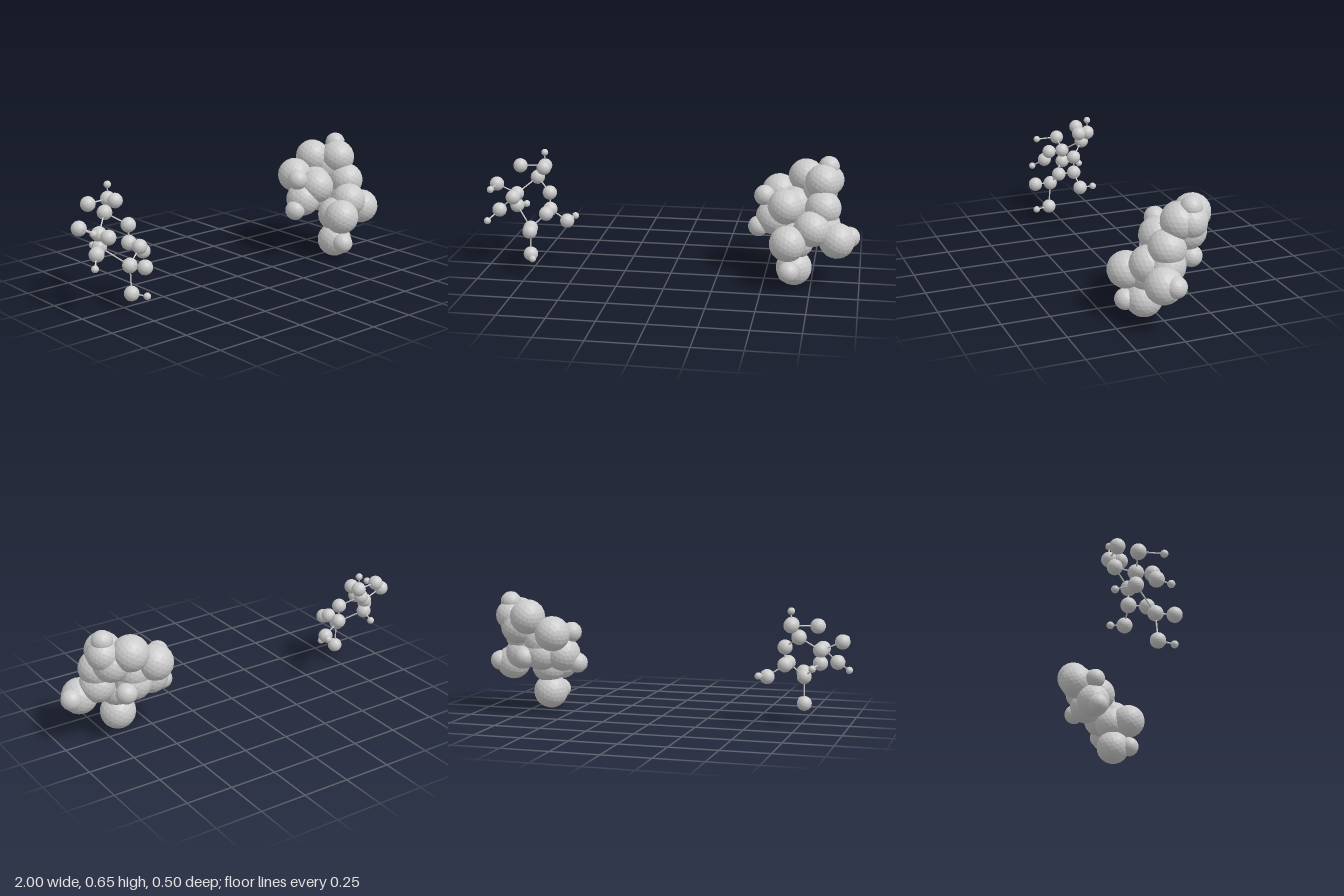
import * as THREE from 'three';

// Atom centres, shared by both renderings of the molecule: [x, y, z]
const HEAVY = {
  top: [0.03, 0.53, -0.158],
  topFront: [0.036, 0.53, -0.104],
  topSide: [-0.103, 0.53, -0.138],
  ringTop: [-0.007, 0.47, -0.136],
  ringLeft: [-0.103, 0.396, -0.05],
  ringLeftLow: [-0.103, 0.33, -0.05],
  leftFront: [-0.103, 0.396, 0.03],
  leftUpper: [-0.215, 0.444, -0.056],
  leftLower: [-0.178, 0.326, 0.035],
  ringRightHigh: [0.079, 0.407, -0.056],
  ringRightLow: [0.079, 0.315, -0.056],
  ringFront: [0.079, 0.315, 0.035],
  rightEnd: [0.17, 0.251, -0.061],
  ringBase: [-0.001, 0.24, 0.061],
  frontEnd: [0.02, 0.25, 0.158],
  bottom: [-0.002, 0.097, 0.071],
};
const HYDROGEN = {
  topHydrogen: [0.03, 0.603, -0.158],
  leftUpperHydrogen: [-0.215, 0.444, 0.067],
  leftLowerHydrogen: [-0.23, 0.278, 0.094],
  backHydrogen: [-0.077, 0.312, -0.145],
  rightHydrogen: [0.202, 0.262, -0.126],
  bottomHydrogen: [0.03, 0.098, 0.157],
};
const BONDS = [
  'top topHydrogen', 'top topSide', 'top topFront', 'top ringTop',
  'ringTop ringLeft', 'ringTop ringRightHigh', 'ringLeft leftUpper',
  'ringLeft ringLeftLow', 'ringLeft leftFront', 'leftFront leftLower',
  'leftUpper leftUpperHydrogen', 'leftLower leftLowerHydrogen',
  'ringLeftLow backHydrogen', 'ringLeftLow ringBase',
  'ringRightHigh ringRightLow', 'ringRightLow ringFront',
  'ringRightLow rightEnd', 'rightEnd rightHydrogen',
  'ringFront ringBase', 'ringBase frontEnd', 'ringBase bottom',
  'bottom bottomHydrogen',
];

const material = new THREE.MeshStandardMaterial({ color: 0xcccccc, flatShading: true });

// One faceted ball per atom
function addAtoms(group, atoms, radiusOf) {
  for (const [name, p] of Object.entries(atoms)) {
    const ball = new THREE.Mesh(new THREE.IcosahedronGeometry(radiusOf(name), 3), material);
    ball.position.set(...p);
    ball.name = name + 'Atom';
    group.add(ball);
  }
}

// Thin rod between two atom centres
function addBond(group, a, b) {
  const start = new THREE.Vector3(...a);
  const dir = new THREE.Vector3(...b).sub(start);
  const rod = new THREE.Mesh(new THREE.CylinderGeometry(0.004, 0.004, dir.length(), 8), material);
  rod.position.copy(start).addScaledVector(dir, 0.5);
  rod.quaternion.setFromUnitVectors(new THREE.Vector3(0, 1, 0), dir.normalize());
  rod.name = 'bond';
  group.add(rod);
}

export function createModel() {
  const model = new THREE.Group();
  model.name = 'moleculePair';

  // Ball-and-stick molecule
  const sticks = new THREE.Group();
  sticks.name = 'ballAndStickMolecule';
  addAtoms(sticks, HEAVY, () => 0.039);
  addAtoms(sticks, HYDROGEN, () => 0.019);
  const all = { ...HEAVY, ...HYDROGEN };
  for (const bond of BONDS) {
    const [a, b] = bond.split(' ');
    addBond(sticks, all[a], all[b]);
  }
  sticks.position.x = -0.75;
  model.add(sticks);

  // Space-filling molecule, turned about the vertical
  const filled = new THREE.Group();
  filled.name = 'spaceFillingMolecule';
  addAtoms(filled, HEAVY, (name) => (name === 'top' ? 0.082 : 0.094));
  addAtoms(filled, HYDROGEN, () => 0.055);
  filled.rotation.y = -0.62;
  filled.position.set(0.703, 0, 0.012);
  model.add(filled);

  return model;
}
